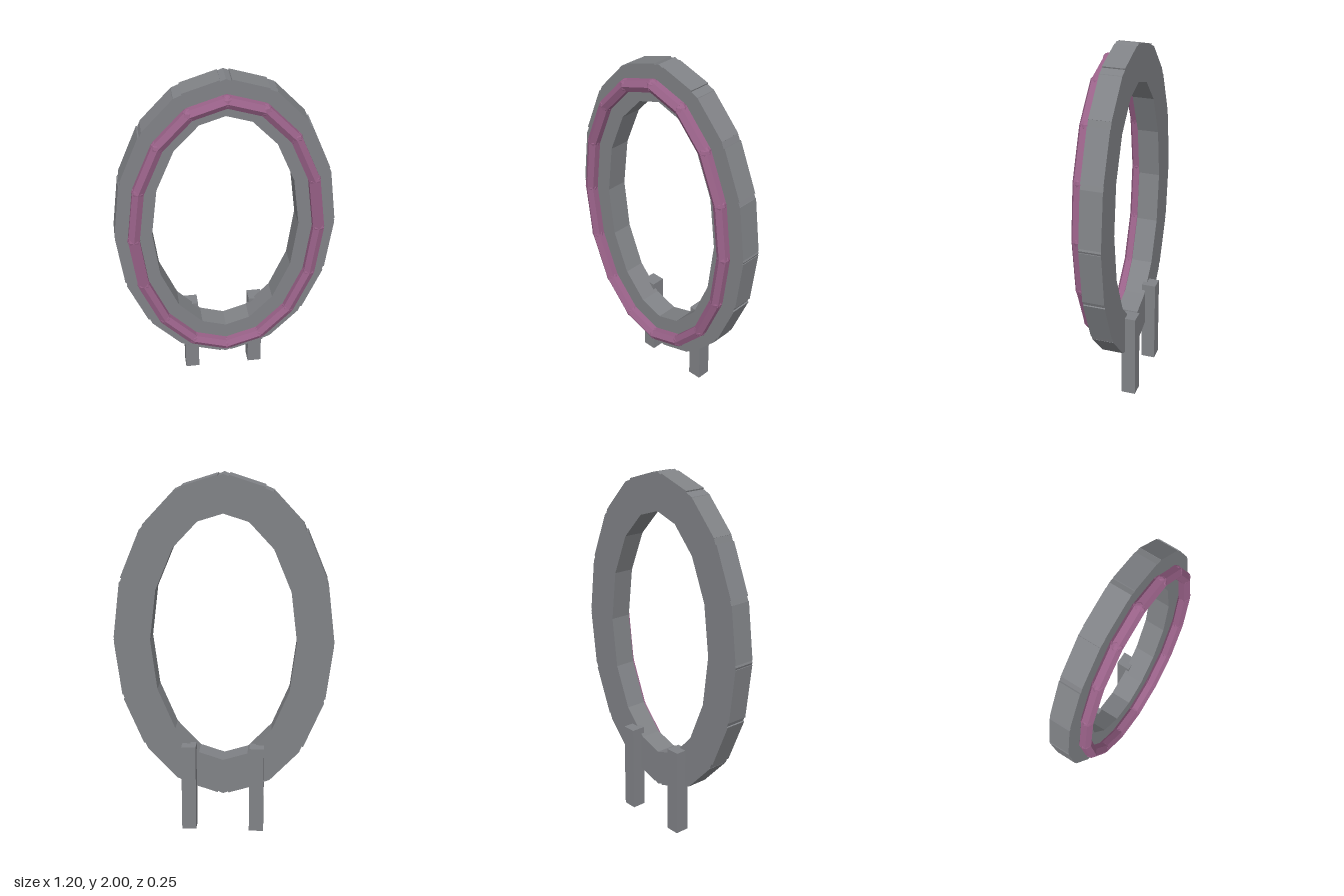
import * as THREE from 'three';

const SEGMENTS = 16;
const CENTRE_Y = 1.1;

// Corner points of the upright ellipse that both rings follow
function ellipsePoints(z) {
  return Array.from({ length: SEGMENTS }, (_, i) => {
    const a = (i / SEGMENTS) * Math.PI * 2;
    return new THREE.Vector3(0.5 * Math.cos(a), CENTRE_Y + 0.8 * Math.sin(a), z);
  });
}

// One straight piece per ellipse side (along local y) and one joint per corner
function segmentedRing(name, z, makeSegment, jointGeometry, material) {
  const ring = new THREE.Group();
  ring.name = name;
  const points = ellipsePoints(z);
  points.forEach((p, i) => {
    const q = points[(i + 1) % SEGMENTS];
    const segment = new THREE.Mesh(makeSegment(p.distanceTo(q)), material);
    segment.name = name + 'Segment';
    segment.position.copy(p).add(q).multiplyScalar(0.5);
    segment.rotation.z = Math.atan2(q.y - p.y, q.x - p.x) - Math.PI / 2;
    const joint = new THREE.Mesh(jointGeometry, material);
    joint.name = name + 'Joint';
    joint.position.copy(p);
    ring.add(segment, joint);
  });
  return ring;
}

export function createModel() {
  const model = new THREE.Group();
  model.name = 'ovalRingOnLegs';
  const stone = new THREE.MeshStandardMaterial({ color: 0x808286, flatShading: true });
  stone.name = 'stoneGrey';
  const mauve = new THREE.MeshStandardMaterial({ color: 0x9a6289, flatShading: true });
  mauve.name = 'mauve';

  // Thick frame of boxes with eight-sided corner joints
  const frameJoint = new THREE.CylinderGeometry(0.1, 0.1, 0.12, 8).rotateX(Math.PI / 2);
  model.add(segmentedRing('frame', -0.01,
    (length) => new THREE.BoxGeometry(0.2, length, 0.12), frameJoint, stone));

  // Thin six-sided trim in front of the frame
  const trimJoint = new THREE.SphereGeometry(0.035, 8, 6);
  model.add(segmentedRing('trim', 0.09,
    (length) => new THREE.CylinderGeometry(0.035, 0.035, length, 6), trimJoint, mauve));

  // Two legs at the back
  for (const [side, name] of [[1, 'leftLeg'], [-1, 'rightLeg']]) {
    const leg = new THREE.Mesh(new THREE.BoxGeometry(0.08, 0.5, 0.08), stone);
    leg.name = name;
    leg.position.set(side * 0.19, 0.25, -0.09);
    model.add(leg);
  }
  return model;
}
